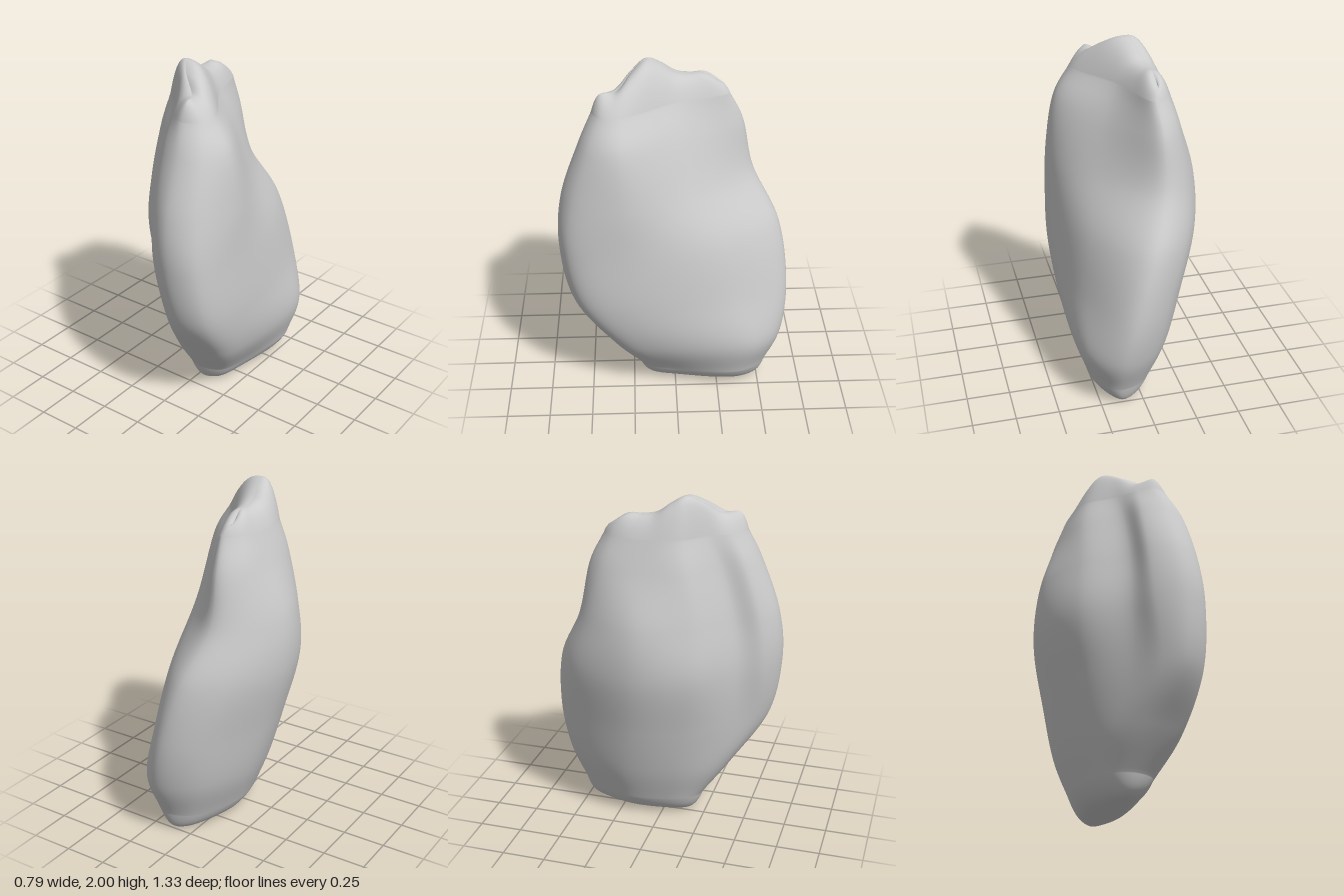
import * as THREE from 'three';

// Horizontal cross-sections, [x, z] pairs running front lobe -> +x face -> back -> -x face -> groove
const heights = [0.12, 0.35, 0.65, 1.0, 1.3, 1.6, 1.78];
const sections = [
  [.08, .23, .19, .18, .245, 0, .28, -.39, .16, -.54, 0, -.49, -.135, -.20, -.11, .04, -.06, .16, 0, .215],
  [.14, .40, .29, .34, .35, .12, .325, -.45, .15, -.635, -.07, -.55, -.225, -.21, -.18, .10, -.07, .29, .03, .38],
  [.19, .595, .33, .53, .387, .29, .305, -.34, .09, -.66, -.13, -.57, -.31, -.15, -.23, .19, -.04, .42, .07, .55],
  [.17, .66, .32, .60, .382, .30, .26, -.26, -.01, -.61, -.24, -.49, -.39, -.10, -.29, .24, -.06, .45, .02, .59],
  [.15, .635, .30, .57, .37, .28, .185, -.13, -.11, -.46, -.26, -.39, -.38, -.08, -.27, .23, -.05, .42, .005, .56],
  [.14, .53, .265, .48, .325, .30, .10, -.06, -.12, -.395, -.235, -.32, -.285, -.10, -.24, .17, -.05, .34, .005, .47],
  [.11, .45, .20, .41, .22, .30, .035, 0, -.10, -.31, -.19, -.26, -.225, -.07, -.20, .13, -.06, .27, .02, .39],
];
// Crest of the biting edge, back to front: [x, y], evenly spaced in z
const crestBack = -0.24, crestFront = 0.38;
const crestPoints = [
  [-.135, 1.84], [-.125, 1.895], [-.115, 1.895], [-.105, 1.91], [-.095, 1.965],
  [-.075, 2.0], [-.02, 1.955], [.075, 1.885], [.12, 1.885],
];
const crest = new THREE.CatmullRomCurve3(crestPoints.map(([x, y], i) => new THREE.Vector3(
  x, y, THREE.MathUtils.lerp(crestBack, crestFront, i / (crestPoints.length - 1)))), false, 'catmullrom', 0.5);
// Keel line the base rounds down to
const keel = new THREE.LineCurve3(new THREE.Vector3(0.1, 0, -0.44), new THREE.Vector3(0.04, 0, 0.09));

// Rings blending from a rim to a line running back to front; power sets how full the curve is
function domeRings(rim, line, rows, power) {
  const zs = rim.map((p) => p.z), zMin = Math.min(...zs), zMax = Math.max(...zs);
  return Array.from({ length: rows }, (_, i) => {
    const f = Math.pow((i + 1) / rows, 1.5), rise = 1 - Math.pow(1 - f, power);
    return rim.map((p) => {
      const t = line.getPoint((p.z - zMin) / (zMax - zMin)), q = p.clone().lerp(t, f);
      q.y = THREE.MathUtils.lerp(p.y, t.y, rise);
      return q;
    });
  });
}

function crownGeometry() {
  const around = 140, bodyRows = 80;
  // One vertical guide curve through each section corner
  const guides = sections[0].slice(0, sections[0].length / 2).map((_, k) => new THREE.CatmullRomCurve3(
    heights.map((y, i) => new THREE.Vector3(sections[i][2 * k], y, sections[i][2 * k + 1])), false, 'catmullrom', 0.5));
  const body = Array.from({ length: bodyRows + 1 }, (_, i) => {
    const loop = new THREE.CatmullRomCurve3(guides.map((g) => g.getPoint(i / bodyRows)), true, 'centripetal');
    return Array.from({ length: around }, (_, j) => loop.getPoint(j / around));
  });

  // Rounded base and the rounded top closing onto the lobed crest
  const base = domeRings(body[0], keel, 20, 3.5).reverse();
  const top = domeRings(body[bodyRows], crest, 20, 2.5);
  const rings = [...base, ...body, ...top];

  const pos = [], index = [];
  rings.forEach((r) => r.forEach((p) => pos.push(p.x, p.y, p.z)));
  for (let i = 0; i < rings.length - 1; i++) {
    for (let j = 0; j < around; j++) {
      const n = (j + 1) % around;
      const a = i * around + j, b = i * around + n, c = b + around, d = a + around;
      index.push(a, b, c, a, c, d);
    }
  }
  const geo = new THREE.BufferGeometry();
  geo.setAttribute('position', new THREE.Float32BufferAttribute(pos, 3));
  geo.setIndex(index);
  geo.computeVertexNormals();
  return geo;
}

export function createModel() {
  const group = new THREE.Group();
  group.name = 'tooth';
  const crown = new THREE.Mesh(crownGeometry(), new THREE.MeshStandardMaterial({ color: 0xcccccc }));
  crown.name = 'toothCrown';
  group.add(crown);
  return group;
}
